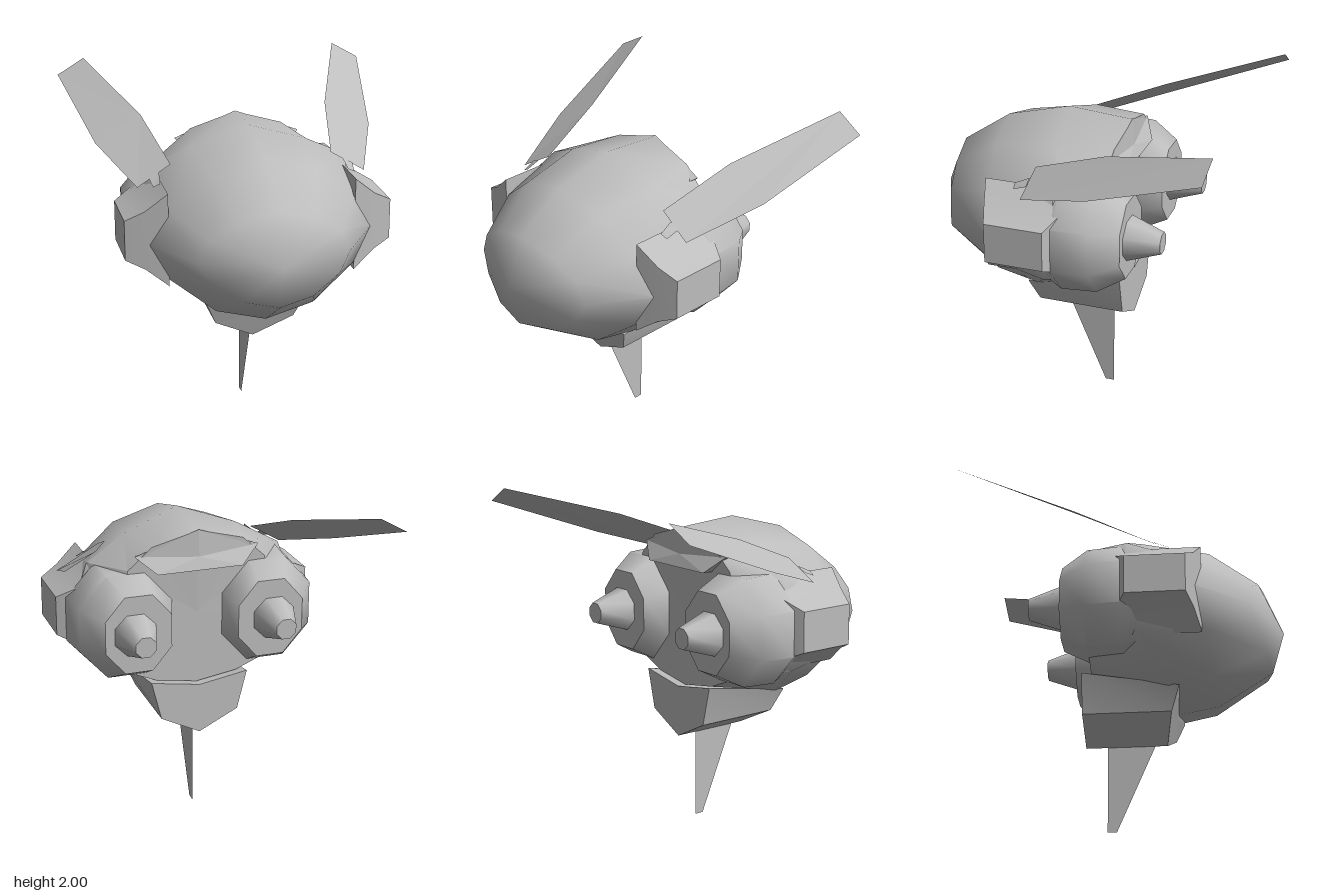
import * as THREE from 'three';
import { toCreasedNormals, mergeGeometries } from 'three/addons/utils/BufferGeometryUtils.js';

const grey = new THREE.MeshStandardMaterial({ color: 0xbdbdbd, side: THREE.DoubleSide });
grey.name = 'hullGrey';

// Soup of triangles to geometry
function soup(tris) {
  const g = new THREE.BufferGeometry();
  g.setAttribute('position', new THREE.Float32BufferAttribute(tris.flat(2), 3));
  return g;
}

// Flat polygon as a fan around its first point
function panel(points) {
  const tris = [];
  for (let i = 1; i < points.length - 1; i++) tris.push([points[0], points[i], points[i + 1]]);
  const g = soup(tris);
  g.computeVertexNormals();
  return g;
}

// Fan around the middle of a ring
function cap(ring) {
  const mid = [0, 1, 2].map(k => ring.reduce((s, p) => s + p[k], 0) / ring.length);
  return panel([mid, ...ring, ring[0]]);
}

// Skin through rings (front ring first, counterclockwise seen from the front)
function loft(rings, { crease = 0.9, front = true } = {}) {
  const tris = [];
  for (let i = 0; i < rings.length - 1; i++) {
    const n = rings[i].length;
    for (let j = 0; j < n; j++) {
      const k = (j + 1) % n;
      const a = rings[i][j], b = rings[i][k], c = rings[i + 1][j], d = rings[i + 1][k];
      if (a !== b) tris.push([a, c, b]);
      tris.push([b, c, d]);
    }
  }
  const parts = [toCreasedNormals(soup(tris), crease)];
  if (front) parts.push(cap(rings[0]));
  parts.push(cap([...rings[rings.length - 1]].reverse()));
  return mergeGeometries(parts);
}

// Half section (top to bottom on +x) to a full symmetric ring
const symmetric = half => [
  ...[...half].reverse(),
  ...half.slice(1, -1).map(([x, y, z]) => [-x, y, z]),
];

// Swap left and right, keeping the corner order
const mirror = ring => ring.map(([x, y, z]) => [-x, y, z]).reverse();

const octagon = (cx, cy, z, rx, ry) => Array.from({ length: 8 }, (_, i) => {
  const a = (i + 0.5) * Math.PI / 4, k = 1 / Math.cos(Math.PI / 8);
  return [cx + rx * k * Math.cos(a), cy + ry * k * Math.sin(a), z];
});

const sideRect = (x, y0, y1, z0, z1) => [[x, y0, z1], [x, y0, z0], [x, y1, z0], [x, y1, z1]];

export function createModel() {
  const model = new THREE.Group();
  const add = (name, geometry) => {
    const mesh = new THREE.Mesh(geometry, grey);
    mesh.name = name;
    model.add(mesh);
  };

  // Domed hull, nose to rear bulkhead
  const nose = [0, 1.24, 0.935];
  add('hull', loft([
    Array(12).fill(nose),
    symmetric([[0, 1.53, 0.82], [0.22, 1.47, 0.79], [0.38, 1.37, 0.76], [0.44, 1.24, 0.74],
      [0.37, 1.12, 0.77], [0.2, 1.02, 0.83], [0, 0.98, 0.86]]),
    symmetric([[0, 1.73, 0.53], [0.3, 1.65, 0.5], [0.54, 1.46, 0.45], [0.66, 1.25, 0.42],
      [0.55, 1.04, 0.45], [0.29, 0.84, 0.51], [0, 0.77, 0.53]]),
    symmetric([[0, 1.83, 0.15], [0.35, 1.71, 0.1], [0.6, 1.58, 0.03], [0.71, 1.28, 0],
      [0.6, 0.99, 0.1], [0.3, 0.79, 0.25], [0, 0.73, 0.3]]),
    symmetric([[0, 1.8, -0.24], [0.28, 1.72, -0.22], [0.42, 1.59, -0.21], [0.5, 1.25, -0.21],
      [0.42, 0.95, -0.21], [0.25, 0.88, -0.21], [0, 0.84, -0.21]]),
  ], { front: false }));

  // Overhang above the rear bulkhead
  add('rearHood', loft([
    symmetric([[0, 1.75, -0.1], [0.33, 1.64, -0.1], [0.26, 1.57, -0.1], [0, 1.57, -0.1]]),
    symmetric([[0, 1.805, -0.24], [0.38, 1.67, -0.21], [0.26, 1.57, -0.28], [0, 1.57, -0.28]]),
  ], { crease: 0.5 }));

  // Keel under the belly
  add('keel', loft([
    symmetric([[0, 0.8, 0.31], [0.3, 0.79, 0.31], [0.24, 0.65, 0.26], [0, 0.53, 0.22]]),
    symmetric([[0, 0.84, -0.265], [0.3, 0.89, -0.265], [0.24, 0.65, -0.265], [0, 0.53, -0.265]]),
  ], { crease: 0.7 }));

  // Thin fin below the keel
  add('lowerFin', panel([[0, 0.56, 0.16], [0, 0, -0.08], [0, 0, -0.135], [0, 0.56, -0.135]]));

  for (const [side, flip] of [['left', r => r], ['right', mirror]]) {
    // Engine pod and nozzle
    add(side + 'EnginePod', loft([
      octagon(0.42, 1.255, 0.2, 0.22, 0.24),
      octagon(0.44, 1.255, 0, 0.3, 0.325),
      octagon(0.435, 1.255, -0.21, 0.28, 0.315),
      octagon(0.405, 1.255, -0.365, 0.2, 0.235),
    ].map(flip)));
    add(side + 'Nozzle', loft([
      octagon(0.425, 1.255, -0.36, 0.125, 0.125),
      octagon(0.425, 1.255, -0.565, 0.06, 0.06),
    ].map(flip)));

    // Bevelled block on the flank
    add(side + 'FlankBlock', loft([
      sideRect(0.79, 1.15, 1.39, 0.03, 0.38),
      sideRect(0.68, 1.1, 1.45, -0.03, 0.42),
      sideRect(0.55, 1.0, 1.56, -0.06, 0.46),
    ].map(flip), { crease: 0.6 }));

    // Swept wing and its root tab
    add(side + 'Wing', panel(flip([[0.81, 2, -0.94], [0.975, 1.905, -0.93], [0.85, 1.66, -0.25],
      [0.68, 1.52, 0.2], [0.48, 1.64, 0.18], [0.57, 1.81, -0.27]])));
    add(side + 'WingTab', panel(flip([[0.61, 1.57, 0.19], [0.6, 1.54, 0.27], [0.56, 1.56, 0.28],
      [0.55, 1.6, 0.19]])));
  }
  return model;
}
